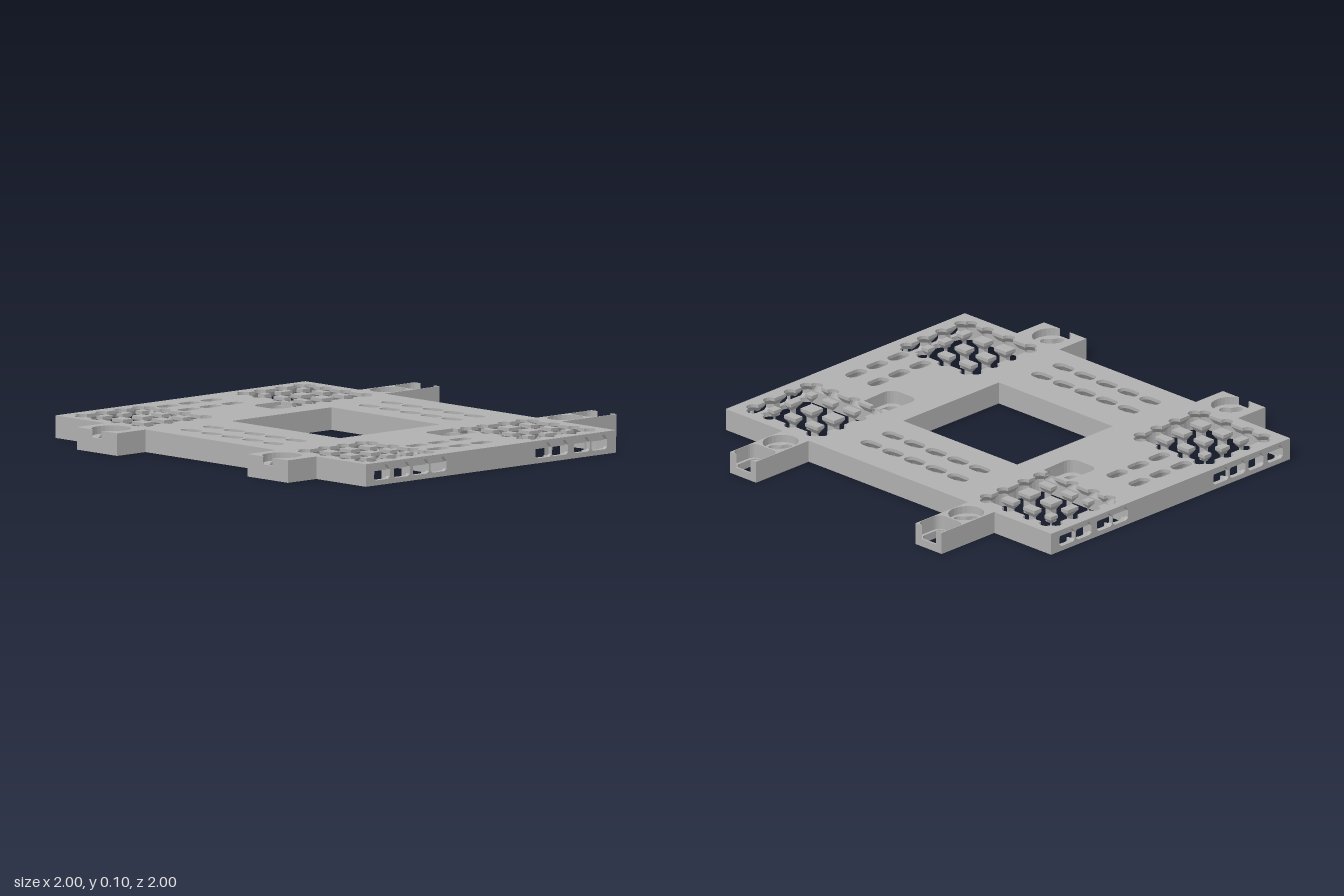
import * as THREE from 'three';

const grey = new THREE.MeshStandardMaterial({ color: 0xb0b0b0, side: THREE.DoubleSide });
grey.name = 'plain grey';

// All outlines are lists of [x, z] points.
const mirror = (pts) => pts.map(([x, z]) => [-x, z]).reverse();
const both = (pts) => [pts, mirror(pts)];
const rect = (x0, x1, z0, z1) => [[x0, z0], [x1, z0], [x1, z1], [x0, z1]];
const vec = (pts) => pts.map(([x, z]) => new THREE.Vector2(x, z));

function arc(cx, cz, rx, rz, from, to, n) {
  const pts = [];
  for (let i = 0; i <= n; i++) {
    const a = ((from + (to - from) * i / n) * Math.PI) / 180;
    pts.push([cx + rx * Math.cos(a), cz + rz * Math.sin(a)]);
  }
  return pts;
}

function roundRect(x0, x1, z0, z1, r) {
  return [...arc(x1 - r, z0 + r, r, r, -90, 0, 5), ...arc(x1 - r, z1 - r, r, r, 0, 90, 5),
    ...arc(x0 + r, z1 - r, r, r, 90, 180, 5), ...arc(x0 + r, z0 + r, r, r, 180, 270, 5)];
}

// Slot with round ends, lying along x or z
function stadium(cx, cz, half, r, alongZ = false) {
  const s = half - r;
  const pts = [...arc(s, 0, r, r, -90, 90, 10), ...arc(-s, 0, r, r, 90, 270, 10)];
  return pts.map(([x, z]) => (alongZ ? [cx + z, cz + x] : [cx + x, cz + z]));
}

// Four-lobed screw hole
function clover(cx, cz) {
  return Array.from({ length: 40 }, (_, i) => {
    const a = (i / 40) * Math.PI * 2, r = 0.053 + 0.01 * Math.cos(4 * a);
    return [cx + 0.96 * r * Math.cos(a), cz + 1.12 * r * Math.sin(a)];
  });
}

// Four scalloped sides of a lattice field; the last side faces the plate edge
function latticeSides(xs, zs, r, b) {
  const [x0, x3, z0, z3] = [xs[0] - r, xs[3] + r, zs[0] - r, zs[3] + r];
  const rev = (a) => [...a].reverse();
  return [
    rev(xs).flatMap((x) => arc(x, z0, r, b[0], 0, -180, 8)),
    zs.flatMap((z) => arc(x0, z, b[1], r, 270, 90, 8)),
    xs.flatMap((x) => arc(x, z3, r, b[2], 180, 0, 8)),
    rev(zs).flatMap((z) => arc(x3, z, b[3], r, 90, -90, 8)),
  ];
}

export function createModel() {
  const model = new THREE.Group();
  model.name = 'mountingPlate';
  const add = (name, geometry) => {
    const mesh = new THREE.Mesh(geometry, grey);
    mesh.name = name;
    model.add(mesh);
    return mesh;
  };
  const slab = (name, outline, holes, y0, y1) => {
    const shape = new THREE.Shape(vec(outline));
    holes.forEach((h) => shape.holes.push(new THREE.Path(vec(h))));
    const g = new THREE.ExtrudeGeometry(shape, { depth: y1 - y0, bevelEnabled: false });
    return add(name, g.rotateX(Math.PI / 2).translate(0, y1, 0));
  };
  // Walls running through a stack of [outline, y] rings
  const loft = (name, rings) => {
    const p = [];
    for (let k = 0; k + 1 < rings.length; k++) {
      const [[a, ya], [b, yb]] = [rings[k], rings[k + 1]];
      for (let i = 0; i < a.length; i++) {
        const j = (i + 1) % a.length;
        const A = [a[i][0], ya, a[i][1]], B = [a[j][0], ya, a[j][1]];
        const C = [b[j][0], yb, b[j][1]], D = [b[i][0], yb, b[i][1]];
        p.push(...A, ...D, ...C, ...A, ...C, ...B);
      }
    }
    const g = new THREE.BufferGeometry();
    g.setAttribute('position', new THREE.Float32BufferAttribute(p, 3));
    g.computeVertexNormals();
    return add(name, g);
  };

  const R = 0.03, W = 0.048, Y1 = 0.06, Y2 = 0.085, TOP = 0.1, EDGE = 0.98;
  const xs = [0.535, 0.67, 0.8, 0.9];
  const fields = [
    { zs: [-0.57, -0.465, -0.335, -0.235], b: [0.03, 0.03, 0, 0.03] },
    { zs: [0.395, 0.5, 0.615, 0.735], b: [0, 0.03, 0.03, 0.03] },
  ];
  const window_ = rect(-0.35, 0.35, -0.22, 0.38);
  const topHoles = [window_], lowHoles = [window_], notches = [];

  // Rows of slots: narrow above, merging into a scalloped channel below
  const cols = [-0.266, -0.133, 0, 0.133, 0.266], half = 0.0665;
  for (const z of [-0.505, -0.37, 0.565, 0.7]) {
    const upper = [], lower = [];
    cols.forEach((x, k) => {
      const wide = stadium(x, z, 0.0735, W), narrow = stadium(x, z, 0.055, R);
      const keep = ([px]) => (px - x < half || k === 4) && (x - px < half || k === 0);
      const clamped = wide.map(([px, pz]) => [Math.min(x + half, Math.max(x - half, px)), pz]);
      const kept = wide.filter(keep).sort((p, q) => p[0] - q[0]);
      upper.push(...kept.filter((p) => p[1] > z + 0.001));
      lower.push(...kept.filter((p) => p[1] < z - 0.001));
      topHoles.push(narrow);
      loft('slotChamfer', [[clamped, Y1], [narrow, Y2]]);
    });
    lowHoles.push([...upper, ...lower.reverse()]);
  }

  // Side slots
  for (const x of [-0.87, -0.735, 0.735, 0.87]) for (const z of [0.015, 0.147, 0.279]) {
    const wide = stadium(x, z, 0.062, W, true), narrow = stadium(x, z, 0.055, R, true);
    topHoles.push(narrow);
    lowHoles.push(wide);
    loft('sideSlotChamfer', [[wide, Y1], [narrow, Y2]]);
  }

  // Rounded pockets opening into the back lattices
  const pocketLow = roundRect(0.5, 0.61, -0.18, -0.03, 0.035);
  const pocketHigh = roundRect(0.47, 0.635, -0.18, -0.002, 0.045);
  both(pocketHigh).forEach((p) => loft('pocketWall', [[p, Y1], [p, Y2]]));
  const pocketMouth = [[0.505, -0.205], [0.505, -0.185], [0.475, -0.18],
    ...arc(0.515, -0.047, 0.045, 0.045, 180, 90, 5), ...arc(0.59, -0.047, 0.045, 0.045, 90, 0, 5),
    [0.63, -0.18], [0.565, -0.185], [0.565, -0.205]];

  // Lattice fields with islands and side tunnels
  fields.forEach(({ zs, b }, f) => {
    const n = latticeSides(xs, zs, R, [0.03, 0.03, 0.03, 0.03]);
    const w = latticeSides(xs, zs, W, b);
    notches.push([[EDGE, zs[0] - W], ...w[0], ...w[1], ...w[2], [EDGE, zs[3] + W]]);
    const top = f === 0 ? [...n[0], ...n[1], ...pocketMouth, ...n[2].slice(9), ...n[3]] : n.flat();
    topHoles.push(...both(top));
    for (const s of [1, -1]) {
      const m = (pts) => pts.map(([x, z]) => [s * x, z]);
      loft('latticeChamfer', [[m(w.flat()), Y1], [m(n.flat()), Y2]]);
      const rim = m([...w[3], [EDGE, zs[0] - W], [EDGE, zs[3] + W]]);
      slab('tunnelSill', rim, [], 0, 0.022);
      slab('tunnelLintel', rim, [], Y1, Y1 + 0.003);
      for (let j = 0; j < 3; j++) {
        if (zs[j + 1] - zs[j] > 2 * W + 0.01)
          slab('tunnelPost', m(rect(0.948, EDGE, zs[j] + W, zs[j + 1] - W)), [], 0.022, Y1);
        for (let i = 0; i < 3; i++) {
          const cell = (r) => {
            const cx = (xs[i] + xs[i + 1]) / 2, cz = (zs[j] + zs[j + 1]) / 2;
            const hx = Math.max(0.002, (xs[i + 1] - xs[i]) / 2 - r);
            const hz = Math.max(0.002, (zs[j + 1] - zs[j]) / 2 - r);
            return m(rect(cx - hx, cx + hx, cz - hz, cz + hz));
          };
          slab('islandTop', cell(R), [], Y2, TOP);
          loft('islandTaper', [[cell(W), Y1], [cell(R), Y2]]);
          slab('islandPost', cell(W), [], 0, Y1);
        }
      }
    }
  });

  // Main plate layers
  const plate = rect(-EDGE, EDGE, -0.67, 0.83);
  const side = [[EDGE, -0.67], ...notches[0], ...notches[1], [EDGE, 0.83]];
  const lowOutline = [...side, ...mirror(side)];
  slab('plateTop', plate, topHoles, Y2, TOP);
  slab('plateBase', lowOutline, [...lowHoles, ...both(pocketLow)], 0, 0.04);
  slab('plateMiddle', lowOutline, [...lowHoles, ...both(pocketHigh)], 0.04, Y1);
  loft('plateRim', [[plate, Y1], [plate, Y2]]);
  loft('windowWall', [[window_, Y1], [window_, Y2]]);

  // Side walls pierced by chamfered tunnels
  const wall = new THREE.Shape(vec([[-0.83, 0], [0.67, 0], [0.67, TOP], [-0.83, TOP]]));
  fields.forEach(({ zs }) => zs.forEach((z) => wall.holes.push(new THREE.Path(vec(
    [[-0.036, 0.022], [0.036, 0.022], [0.048, 0.032], [0.048, 0.065], [0.032, 0.087],
      [-0.032, 0.087], [-0.048, 0.065], [-0.048, 0.032]].map(([u, y]) => [u - z, y]))))));
  for (const x of [EDGE, -1]) {
    const g = new THREE.ExtrudeGeometry(wall, { depth: 0.02, bevelEnabled: false });
    add('sideWall', g.rotateY(Math.PI / 2).translate(x, 0, 0));
  }

  for (const s of [1, -1]) {
    // Front ears with a recessed screw hole breaking through the front edge
    const fx = 0.55 * s, cz = 0.915;
    slab('frontEarBase', rect(fx - 0.13, fx + 0.13, 0.82, 1), [clover(fx, cz)], 0, 0.065);
    slab('frontEarTop', [[fx + 0.03, 1], [fx + 0.13, 1], [fx + 0.13, 0.82], [fx - 0.13, 0.82],
      [fx - 0.13, 1], [fx - 0.03, 1], ...arc(fx, cz, 0.085, 0.088, 112, 428, 24)], [], 0.065, TOP);

    // Back arms with a screw hole and an open-ended cradle
    const bx = 0.57 * s, hole = clover(bx, -0.77);
    const cradle = [[bx - 0.08, -0.67], [bx - 0.08, -1], [bx - 0.045, -1],
      ...arc(bx - 0.042, -0.963, 0.035, 0.035, 270, 180, 5),
      ...arc(bx - 0.042, -0.89, 0.035, 0.035, 180, 90, 5),
      ...arc(bx + 0.042, -0.89, 0.035, 0.035, 90, 0, 5),
      ...arc(bx + 0.042, -0.963, 0.035, 0.035, 0, -90, 5),
      [bx + 0.045, -1], [bx + 0.08, -1], [bx + 0.08, -0.67]];
    slab('backArmBase', rect(bx - 0.08, bx + 0.08, -1, -0.67),
      [hole, roundRect(bx - 0.063, bx + 0.063, -0.99, -0.86, 0.03)], 0, 0.035);
    slab('backArmMiddle', cradle, [hole], 0.035, 0.065);
    slab('backArmTop', cradle, [arc(bx, -0.765, 0.075, 0.083, 0, 345, 23)], 0.065, TOP);
  }
  return model;
}
